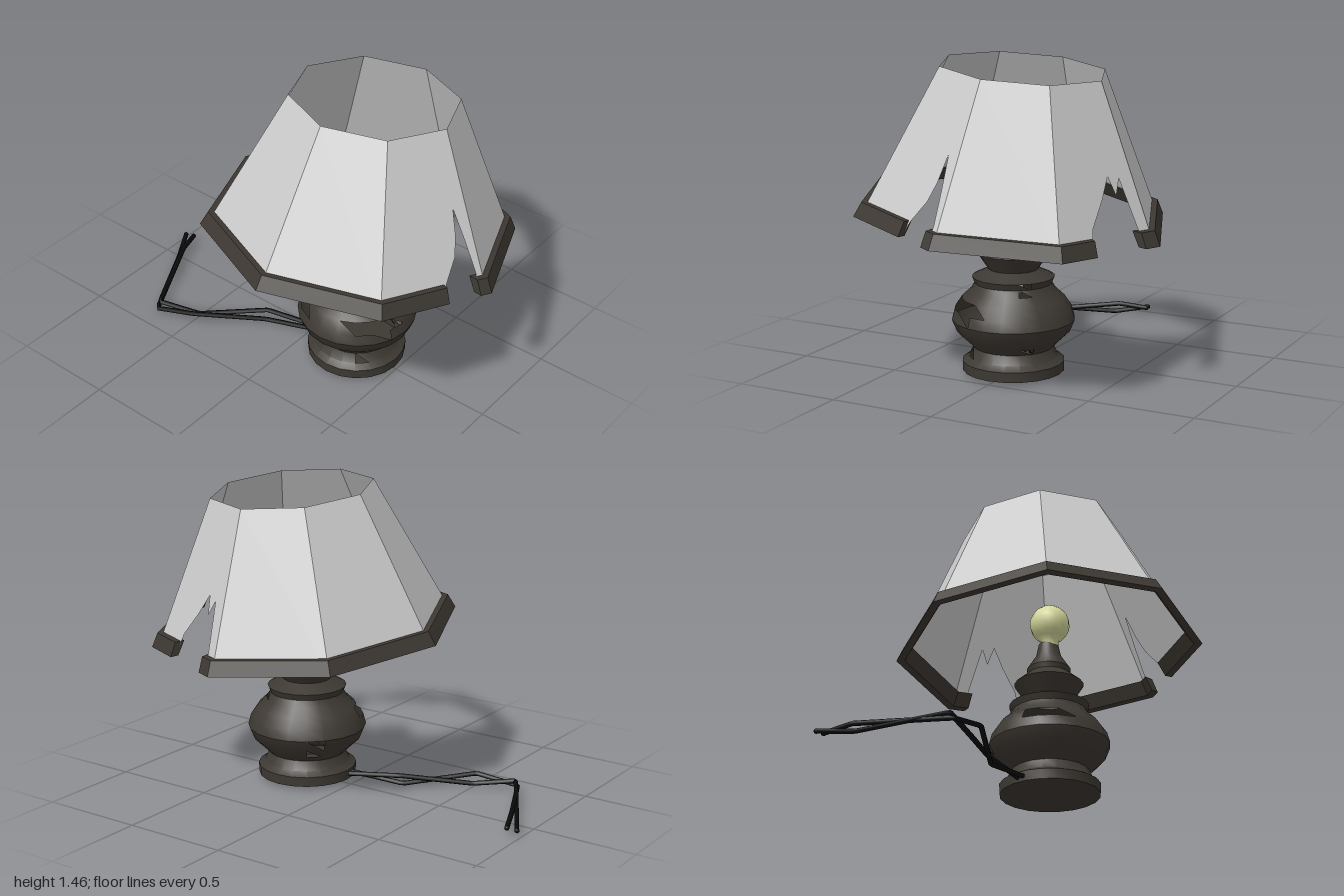
import * as THREE from 'three';
import { toCreasedNormals } from 'three/addons/utils/BufferGeometryUtils.js';
import { ConvexGeometry } from 'three/addons/geometries/ConvexGeometry.js';

const mat = (color) => new THREE.MeshStandardMaterial({ color, side: THREE.DoubleSide });
const grey = mat(0xcccccc);
const brown = mat(0x3d3832);
const cream = mat(0xd6d99c);
const black = mat(0x0a0a0a);

function mesh(name, geometry, material) {
  const m = new THREE.Mesh(geometry, material);
  m.name = name;
  return m;
}

const SIDES = 8;
// Point on shade side k, t along the side, at radius r and height h
function sidePoint(k, t, r, h) {
  const a = (k / SIDES) * Math.PI * 2;
  const b = ((k + 1) / SIDES) * Math.PI * 2;
  return new THREE.Vector3(
    r * THREE.MathUtils.lerp(Math.cos(a), Math.cos(b), t), h,
    r * THREE.MathUtils.lerp(Math.sin(a), Math.sin(b), t));
}

// Torn lower edges as [t, s] across and up the panel, and the rim left beside them
const tears = {
  0: [[0.08, 0], [0.06, 0.12], [0.1, 0.33], [0.16, 0.53], [0.19, 0.36], [0.24, 0.24], [0.36, 0.1], [0.4, 0]],
  6: [[0.14, 0], [0.12, 0.1], [0.18, 0.42], [0.27, 0.32], [0.32, 0.44], [0.45, 0.31], [0.62, 0.15], [0.66, 0]],
};
const rimSpans = { 0: [[0, 0.1], [0.39, 1]], 6: [[0, 0.15], [0.65, 1]] };

function createShade() {
  const shade = new THREE.Group();
  shade.name = 'lampshade';
  const rimProfile = [[0.735, 0], [0.702, 0.066], [0.655, 0.066], [0.695, 0]];
  for (let k = 0; k < SIDES; k++) {
    // Panel drawn as a unit square, then mapped onto the tapered side
    const outline = [[0, 0], ...(tears[k] || []), [1, 0], [1, 1], [0, 1]];
    const panel = new THREE.ShapeGeometry(
      new THREE.Shape(outline.map(([t, s]) => new THREE.Vector2(t, s))));
    const p = panel.attributes.position;
    for (let i = 0; i < p.count; i++) {
      const s = p.getY(i);
      const v = sidePoint(k, p.getX(i), THREE.MathUtils.lerp(0.705, 0.385, s), 0.68 * s);
      p.setXYZ(i, v.x, v.y, v.z);
    }
    // Side order runs clockwise from outside, so flip the winding
    const idx = panel.index;
    for (let i = 0; i < idx.count; i += 3) {
      const a = idx.getX(i);
      idx.setX(i, idx.getX(i + 1));
      idx.setX(i + 1, a);
    }
    panel.computeVertexNormals();
    shade.add(mesh('shadePanel', panel, grey));

    // Thick rim pieces
    for (const [t0, t1] of rimSpans[k] || [[0, 1]]) {
      const pts = [t0, t1].flatMap((t) => rimProfile.map(([r, h]) => sidePoint(k, t, r, h)));
      shade.add(mesh('shadeRim', new ConvexGeometry(pts), brown));
    }
  }
  shade.position.set(0.265, 0.745, 0);
  shade.rotation.set(-0.1, 0, -0.03);
  return shade;
}

function createBase() {
  const profile = [
    [0, 0.018], [0.235, 0.018], [0.237, 0.065], [0.205, 0.085], [0.185, 0.13], [0.215, 0.16],
    [0.262, 0.205], [0.285, 0.26], [0.272, 0.31], [0.238, 0.36], [0.195, 0.4], [0.178, 0.43],
    [0.19, 0.46], [0.115, 0.495], [0.165, 0.57], [0.1, 0.625], [0.105, 0.65], [0.06, 0.72],
    [0.047, 0.78], [0, 0.78],
  ].map(([x, y]) => new THREE.Vector2(x, y));
  const segments = 20;
  const geo = new THREE.LatheGeometry(profile, segments);

  // Broken-out triangles: segment, row, half (0 lower, 1 upper)
  const missing = new Set([
    '1,8,1', '2,8,0', '2,8,1', '3,8,0', '3,8,1', '3,7,1', '4,8,0',
    '16,8,0', '16,8,1', '17,8,0', '17,8,1', '18,8,0',
    '7,10,0', '7,11,1', '7,4,1', '2,3,0', '12,5,0', '12,6,1',
  ]);
  const src = geo.index.array;
  const kept = [];
  const rows = profile.length - 1;
  for (let i = 0; i < segments; i++) {
    for (let j = 0; j < rows; j++) {
      for (let half = 0; half < 2; half++) {
        if (missing.has(`${i},${j},${half}`)) continue;
        const o = (i * rows + j) * 6 + half * 3;
        kept.push(src[o], src[o + 1], src[o + 2]);
      }
    }
  }
  geo.setIndex(kept);
  const base = mesh('lampBase', toCreasedNormals(geo, 0.6), brown);
  base.position.x = 0.26;
  return base;
}

function createBulb() {
  // Round bulb closing down to a short neck
  const profile = [[0.04, 0.77]];
  for (let i = 0; i <= 10; i++) {
    const a = THREE.MathUtils.lerp(-1.1, Math.PI / 2, i / 10);
    profile.push([Math.max(0, 0.096 * Math.cos(a)), 0.885 + 0.096 * Math.sin(a)]);
  }
  const geo = new THREE.LatheGeometry(profile.map(([x, y]) => new THREE.Vector2(x, y)), 14);
  const bulb = mesh('bulb', geo, cream);
  bulb.position.set(0.26, 0, 0.01);
  return bulb;
}

function createCord() {
  const cord = new THREE.Group();
  cord.name = 'cord';
  const strands = [
    [[0.05, 0.04, 0.02], [-0.22, 0.06, 0.1], [-0.5, 0.02, 0.3], [-0.69, 0.05, 0.38], [-0.9, 0.013, 0.02], [-0.985, 0.035, -0.13]],
    [[0.05, 0.045, 0.05], [-0.22, 0.015, 0.12], [-0.49, 0.055, 0.35], [-0.69, 0.02, 0.4], [-0.89, 0.06, -0.01], [-0.94, 0.04, -0.14]],
  ];
  for (const pts of strands) {
    const curve = new THREE.CatmullRomCurve3(
      pts.map((p) => new THREE.Vector3(...p)), false, 'catmullrom', 0);
    cord.add(mesh('cordStrand', new THREE.TubeGeometry(curve, 60, 0.012, 6), black));
    // Rounded ends
    const tip = mesh('cordTip', new THREE.SphereGeometry(0.012, 8, 6), black);
    tip.position.set(...pts[pts.length - 1]);
    cord.add(tip);
  }
  return cord;
}

export function createModel() {
  const lamp = new THREE.Group();
  lamp.name = 'brokenTableLamp';
  lamp.add(createBase(), createBulb(), createShade(), createCord());
  return lamp;
}
